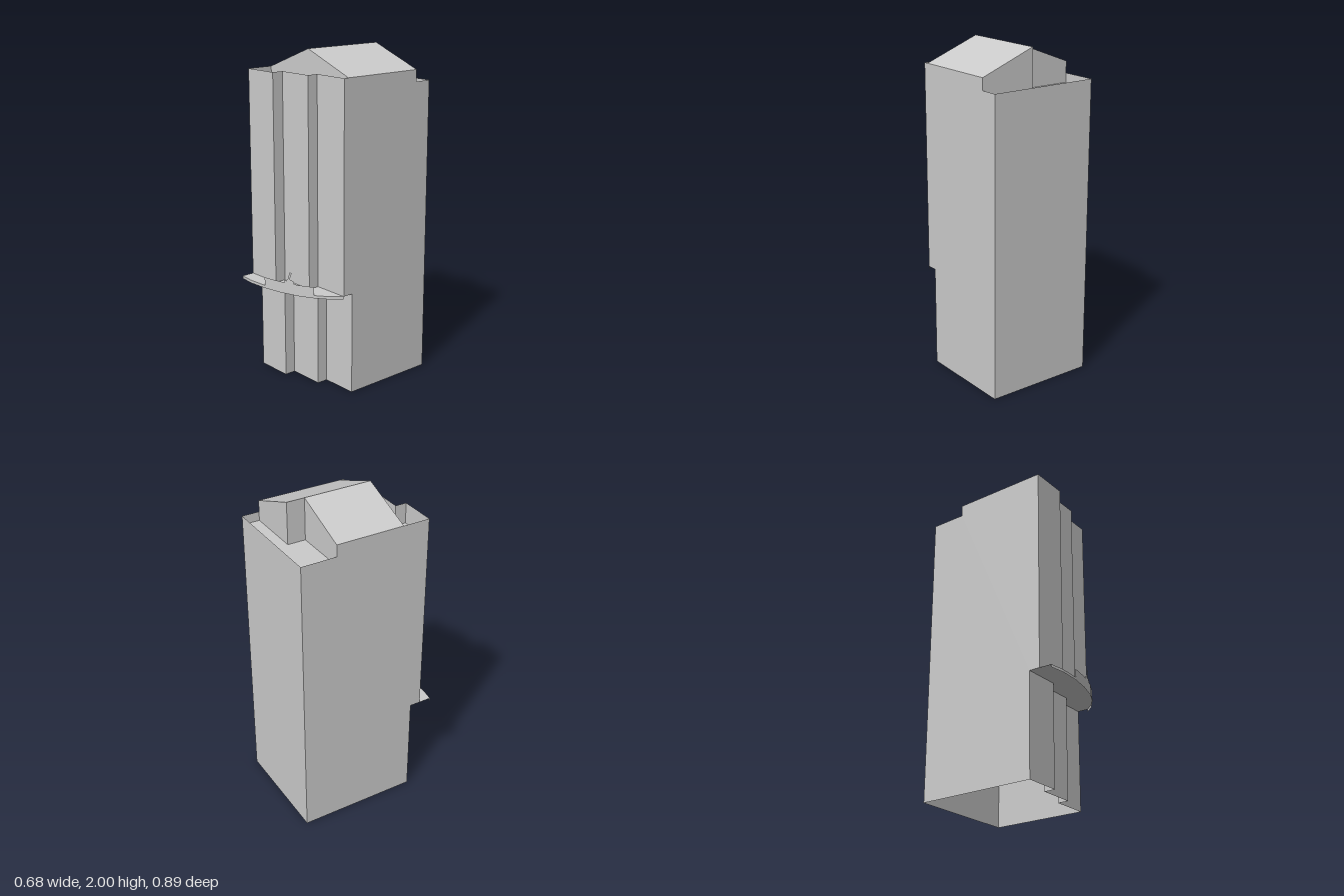
import * as THREE from 'three';

const material = new THREE.MeshStandardMaterial({ color: 0xcccccc, side: THREE.DoubleSide, flatShading: true });
const W = 0.34, BACK = -0.447, FLOOR = 1.745, EAVE = 1.87, RIDGE = 2, CANOPY = 0.617;

export function createModel() {
  const model = new THREE.Group();

  function add(parent, name, geometry) {
    const mesh = new THREE.Mesh(geometry, material);
    mesh.name = name;
    parent.add(mesh);
    return mesh;
  }
  function group(name) {
    const g = new THREE.Group();
    g.name = name;
    model.add(g);
    return g;
  }
  const flat = (points) => new THREE.ShapeGeometry(new THREE.Shape(points.map(([a, b]) => new THREE.Vector2(a, b))));
  const facingZ = (points, z) => flat(points).translate(0, 0, z); // points are x, y
  const facingX = (points, x) => flat(points).rotateY(-Math.PI / 2).translate(x, 0, 0); // points are z, y
  const level = (points, y) => flat(points).rotateX(Math.PI / 2).translate(0, y, 0); // points are x, z

  // Vertical sheet standing on a plan path of x, z points
  function strip(path, y0, y1) {
    const positions = [];
    for (let i = 0; i < path.length - 1; i++) {
      const [ax, az] = path[i], [bx, bz] = path[i + 1];
      positions.push(ax, y0, az, bx, y0, bz, bx, y1, bz, ax, y0, az, bx, y1, bz, ax, y1, az);
    }
    const g = new THREE.BufferGeometry();
    g.setAttribute('position', new THREE.Float32BufferAttribute(positions, 3));
    g.computeVertexNormals();
    return g;
  }

  // Three front bays, each set back from the one to its left
  const steps = (z1, z2, z3) => [[-W, z1], [-0.113, z1], [-0.113, z2], [0.113, z2], [0.113, z3], [W, z3]];
  const lowerFront = steps(0.29, 0.222, 0.155);
  const upperFront = steps(0.357, 0.287, 0.22);

  // Outer walls, open underneath
  const walls = group('walls');
  add(walls, 'lowerFrontWall', strip(lowerFront, 0, CANOPY));
  add(walls, 'upperFrontWall', strip(upperFront, CANOPY, EAVE));
  add(walls, 'backWall', strip([[W, BACK], [-W, BACK]], 0, 1.8));
  const sideProfile = (low, high, roofBack) => [
    [BACK, 0], [low, 0], [low, CANOPY], [high, CANOPY],
    [high, EAVE], [roofBack, EAVE], [roofBack, 1.8], [BACK, 1.8],
  ];
  add(walls, 'leftWall', facingX(sideProfile(0.155, 0.22, -0.34), W));
  add(walls, 'rightWall', facingX(sideProfile(0.29, 0.357, -0.23), -W));

  // Sunken terrace behind the parapets
  add(model, 'terraceFloor', level([...upperFront, [W, BACK], [-W, BACK]], FLOOR));

  // Gabled roof; its left half reaches further back
  const roof = group('roof');
  const roofFront = 0.19;
  add(roof, 'frontGable', facingZ([[-W, FLOOR], [W, FLOOR], [W, EAVE], [0, RIDGE], [-W, EAVE]], roofFront));
  for (const [side, name, zBack] of [[1, 'left', -0.34], [-1, 'right', -0.23]]) {
    const x = side * W;
    add(roof, name + 'BackGable', facingZ([[0, FLOOR], [x, FLOOR], [x, EAVE], [0, RIDGE]], zBack));
    const slope = new THREE.PlaneGeometry(W, roofFront - zBack).rotateX(-Math.PI / 2)
      .translate(x / 2, 0, (roofFront + zBack) / 2);
    const p = slope.attributes.position;
    for (let i = 0; i < p.count; i++) p.setY(i, RIDGE - (RIDGE - EAVE) * Math.abs(p.getX(i)) / W);
    slope.computeVertexNormals();
    add(roof, name + 'Slope', slope);
  }
  add(roof, 'gableStep', facingX([[-0.34, FLOOR], [-0.23, FLOOR], [-0.23, RIDGE], [-0.34, RIDGE]], 0));

  // Curved entrance canopy with a raised sign panel
  const canopy = group('canopy');
  const curve = [[-W, 0.435], [-0.245, 0.447], [-0.113, 0.441], [0.005, 0.419],
    [0.125, 0.382], [0.213, 0.337], [0.288, 0.281], [W, 0.221]];
  add(canopy, 'canopyPlate', level([...curve, ...[...lowerFront].reverse()], CANOPY));
  add(canopy, 'canopyEdge', strip(curve, 0.6, CANOPY));
  add(canopy, 'signPanel', strip(curve.slice(2, 6), CANOPY, 0.667));

  // Small slanted ornament on the panel, lying along the curve
  const ornament = add(canopy, 'ornament', flat([
    [-0.032, 0], [-0.03, 0.016], [-0.018, 0.012], [-0.012, 0.022], [-0.006, 0.026], [0.004, 0.068],
    [0.02, 0.066], [0.006, 0.03], [0.01, 0.018], [0.022, 0.02], [0.034, 0.014], [0.034, 0],
  ]));
  ornament.position.set(0.065, 0.667, 0.4005);
  ornament.rotation.y = 0.3;

  return model;
}
